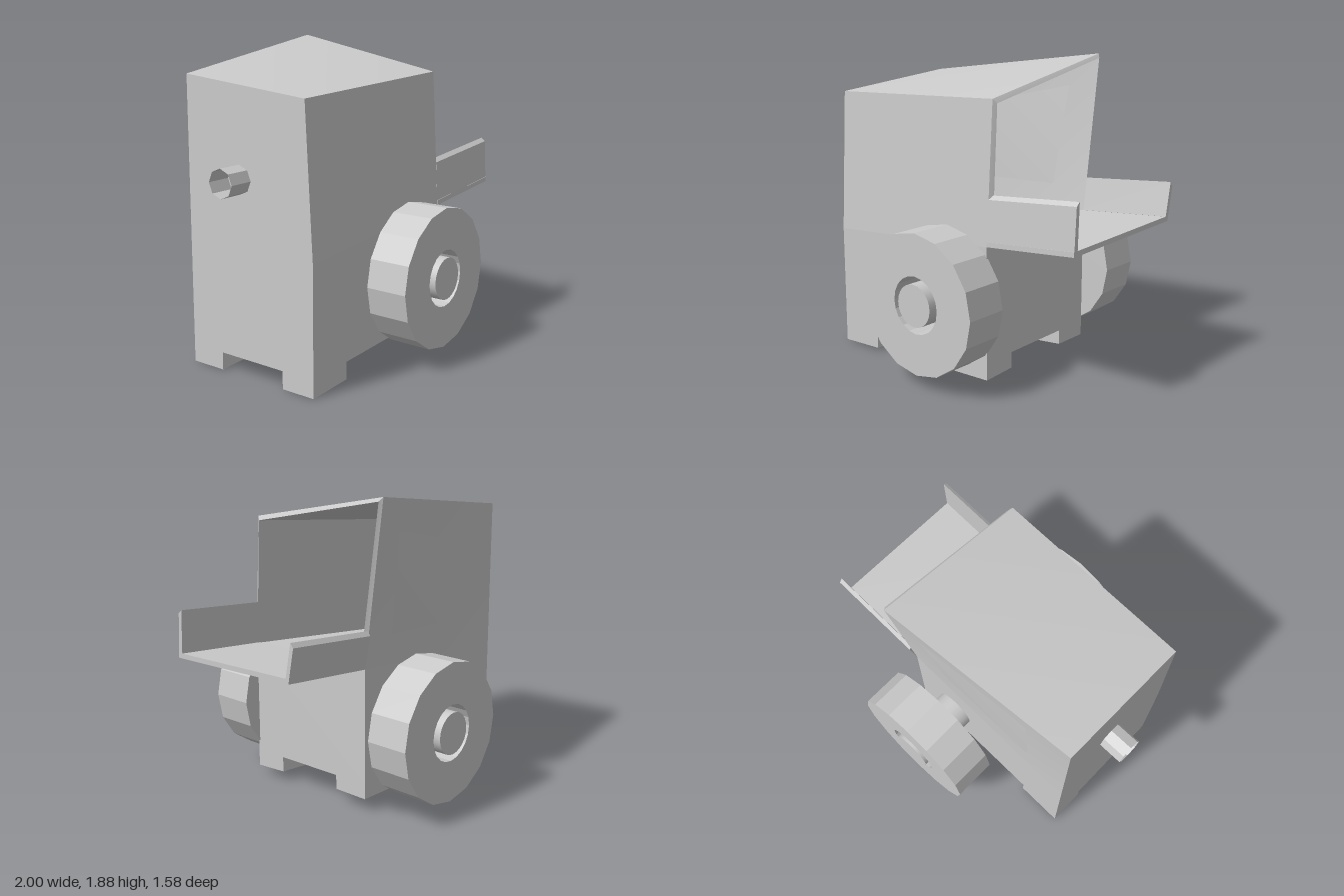
import * as THREE from 'three';
import { toCreasedNormals } from 'three/addons/utils/BufferGeometryUtils.js';

const grey = (options) => new THREE.MeshStandardMaterial({ color: 0xcccccc, ...options });
const smooth = grey();
const smoothOpen = grey({ side: THREE.DoubleSide });
const flat = grey({ flatShading: true });
const flatOpen = grey({ flatShading: true, side: THREE.DoubleSide });

// Joins four-cornered sections and caps both ends.
// A section is [x, corners]; corners are [y, z]: front low, front high, back high, back low.
function loft(name, sections, material = smooth) {
  const loops = sections.map(([x, pts]) => pts.map(([y, z]) => [x, y, z]));
  const out = [];
  const quad = (a, b, c, d) => out.push(...a, ...b, ...c, ...a, ...c, ...d);
  for (let s = 0; s < loops.length - 1; s++) {
    const A = loops[s], B = loops[s + 1];
    for (let i = 0; i < 4; i++) {
      const j = (i + 1) % 4;
      quad(A[i], B[i], B[j], A[j]);
    }
  }
  quad(...loops[0]);
  quad(...loops[loops.length - 1].slice().reverse());
  const geo = new THREE.BufferGeometry();
  geo.setAttribute('position', new THREE.Float32BufferAttribute(out, 3));
  const mesh = new THREE.Mesh(toCreasedNormals(geo, 0.5), material);
  mesh.name = name;
  return mesh;
}

function ring(radius, sides) {
  return Array.from({ length: sides }, (_, i) => {
    const a = (i / sides) * Math.PI * 2;
    return new THREE.Vector2(radius * Math.cos(a), radius * Math.sin(a));
  });
}

export function createModel() {
  const group = new THREE.Group();
  const add = (name, geometry, material, x, y, z) => {
    const mesh = new THREE.Mesh(geometry, material);
    mesh.name = name;
    mesh.position.set(x, y, z);
    group.add(mesh);
  };

  // Lower body
  group.add(loft('lowerBody', [
    [-0.85, [[0.107, 0.52], [0.76, 0.52], [0.79, -0.39], [0.107, -0.39]]],
    [0.39, [[0.165, 0.52], [0.86, 0.52], [0.887, -0.39], [0.178, -0.39]]],
  ]));

  // Hopper: outer shell, bevelled rim of the side opening, then the hollow inside
  group.add(loft('hopper', [
    [-0.85, [[0.76, 0.52], [1.64, 0.47], [1.72, -0.39], [0.79, -0.39]]],
    [0.39, [[0.86, 0.52], [1.69, 0.47], [1.88, -0.52], [0.887, -0.39]]],
    [0.407, [[0.89, 0.49], [1.665, 0.45], [1.855, -0.5], [0.917, -0.37]]],
    [-0.78, [[0.8, 0.365], [1.56, 0.34], [1.64, -0.36], [0.83, -0.365]]],
  ], smoothOpen));

  // Sloping tray with two raised, chamfered lips
  const trayParts = {
    trayFloor: [[0.86, 0.52], [0.89, 0.52], [0.917, -0.39], [0.887, -0.39]],
    frontLip: [[0.86, 0.52], [1.13, 0.505], [1.152, 0.48], [0.89, 0.49]],
    backLip: [[0.917, -0.37], [1.118, -0.41], [1.092, -0.43], [0.887, -0.39]],
  };
  for (const [name, pts] of Object.entries(trayParts)) {
    const raised = pts.map(([y, z]) => [y + 0.055, z]);
    group.add(loft(name, [[0.39, pts], [1, raised]], smoothOpen));
  }

  // Feet: front and back edge heights of the sole at both ends
  for (const [name, x0, x1, zf, zb, sole0, sole1] of [
    ['rightFrontFoot', -0.85, -0.55, 0.52, 0.3, [0, 0], [0.015, 0.015]],
    ['rightBackFoot', -0.85, -0.55, -0.16, -0.39, [0, 0], [0.015, 0.015]],
    ['leftFrontFoot', 0.08, 0.39, 0.52, 0.3, [0.045, 0.045], [0.057, 0.07]],
    ['leftBackFoot', 0.08, 0.39, -0.16, -0.39, [0.055, 0.078], [0.085, 0.085]],
  ]) {
    const section = ([f, b]) => [[f, zf], [0.2, zf], [0.2, zb], [b, zb]];
    group.add(loft(name, [[x0, section(sole0)], [x1, section(sole1)]]));
  }

  // Wheels with a round opening for the axle
  const wheelShape = new THREE.Shape(ring(0.428, 16));
  wheelShape.holes.push(new THREE.Path(ring(0.173, 20).reverse()));
  const wheelGeo = new THREE.ExtrudeGeometry(wheelShape, { depth: 0.27, bevelEnabled: false });
  add('frontWheel', wheelGeo, flat, 0.073, 0.51, 0.51);
  add('backWheel', wheelGeo, flat, 0.073, 0.51, -0.78);

  // Axle
  add('axle', new THREE.CylinderGeometry(0.128, 0.128, 1.584, 24).rotateX(Math.PI / 2),
    smooth, 0.073, 0.51, 0);

  // Eight-sided pipe, open outside and closed inside the hopper
  add('pipe', new THREE.CylinderGeometry(0.085, 0.085, 0.23, 8, 1, true).rotateZ(Math.PI / 2),
    flatOpen, -0.885, 1.157, 0);
  add('pipeEnd', new THREE.CircleGeometry(0.085, 8).rotateY(Math.PI / 2),
    flatOpen, -0.77, 1.157, 0);

  return group;
}
